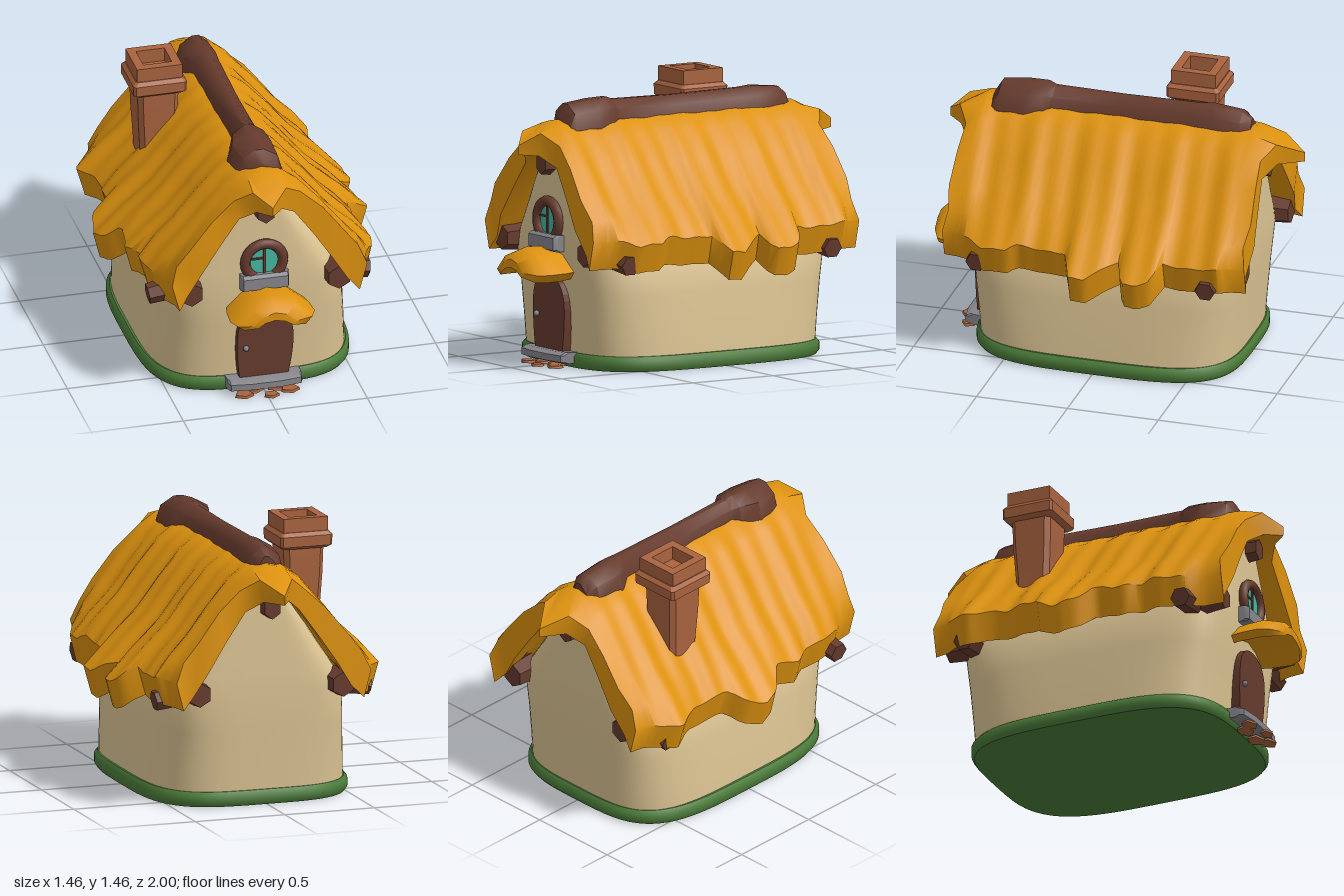
import * as THREE from 'three';
import { toCreasedNormals } from 'three/addons/utils/BufferGeometryUtils.js';

const mat = (name, color) => Object.assign(new THREE.MeshStandardMaterial({ color }), { name });

// Skins equal, even-length rings of [x,y,z]; end caps pair point i with point n-1-i.
function loft(rings, crease = 0.8) {
  const n = rings[0].length, p = rings.flat(), idx = [];
  const quad = (a, b, c, d) => idx.push(a, b, c, a, c, d);
  for (let r = 0; r < rings.length - 1; r++)
    for (let i = 0; i < n; i++) {
      const j = (i + 1) % n;
      quad(r * n + i, r * n + j, (r + 1) * n + j, (r + 1) * n + i);
    }
  const end = (rings.length - 1) * n;
  for (let i = 0; i < n / 2 - 1; i++) {
    quad(i, n - 1 - i, n - 2 - i, i + 1);
    quad(end + i, end + i + 1, end + n - 2 - i, end + n - 1 - i);
  }
  // make the faces point outward whichever way the rings run
  let volume = 0;
  const v = (i) => new THREE.Vector3(...p[i]);
  for (let i = 0; i < idx.length; i += 3) volume += v(idx[i]).dot(v(idx[i + 1]).cross(v(idx[i + 2])));
  if (volume < 0) idx.reverse();
  const g = new THREE.BufferGeometry();
  g.setAttribute('position', new THREE.Float32BufferAttribute(p.flat(), 3));
  g.setIndex(idx);
  return toCreasedNormals(g, crease);
}

// Rounded-rectangle footprint
function footprint(y, a, b, n, count = 64) {
  return Array.from({ length: count }, (_, i) => {
    const t = ((i + 0.5) / count) * Math.PI * 2, c = Math.cos(t), s = Math.sin(t);
    return [a * Math.sign(c) * Math.abs(c) ** (2 / n), y, b * Math.sign(s) * Math.abs(s) ** (2 / n)];
  });
}

// Piecewise linear lookup
function lerpKeys(keys, x) {
  let i = 1;
  while (i < keys.length - 1 && keys[i][0] < x) i++;
  const [x0, y0] = keys[i - 1], [x1, y1] = keys[i];
  return y0 + (y1 - y0) * THREE.MathUtils.clamp((x - x0) / (x1 - x0), 0, 1);
}

// Thatch: paired outer and inner slope points, from ridge to eave
const OUTER = [[0, 1.295], [0.09, 1.275], [0.18, 1.21], [0.3, 1.07], [0.42, 0.92], [0.53, 0.815], [0.62, 0.71]];
const INNER = [[0, 1.13], [0.07, 1.12], [0.15, 1.06], [0.26, 0.91], [0.36, 0.76], [0.47, 0.63], [0.58, 0.56]];
const OVERHANG = [[0.2, 0.06], [0.1, 0.05], [0.04, 0.05], [0.05, 0.05], [0.06, 0.06], [0.04, 0.05], [0.06, 0.06]];
const EAVE = {
  '-1': [[-0.8, 0.52], [-0.68, 0.62], [-0.6, 0.66], [-0.45, 0.6], [-0.22, 0.6], [-0.15, 0.69], [-0.03, 0.73], [0.07, 0.7],
    [0.15, 0.6], [0.3, 0.64], [0.4, 0.59], [0.5, 0.6], [0.65, 0.57], [0.8, 0.5]],
  '1': [[-0.8, 0.52], [-0.7, 0.6], [-0.5, 0.61], [-0.4, 0.6], [-0.36, 0.7], [-0.28, 0.73], [-0.2, 0.72], [-0.16, 0.62],
    [-0.1, 0.66], [0, 0.73], [0.08, 0.73], [0.13, 0.62], [0.4, 0.6], [0.45, 0.64], [0.6, 0.64], [0.68, 0.58], [0.8, 0.53]],
};
function thatchRing(z, endSign) {
  const point = (list, k, side) => {
    let [x, y] = list[k];
    const outer = list === OUTER;
    const eave = lerpKeys(EAVE[side], z) - 0.62;
    const pull = k === 6 ? 1 : k === 5 ? 0.4 : 0;
    x += eave * pull;
    y -= Math.max(eave, 0) * pull * 0.8;
    // straw ripples running down the slope
    const wave = Math.sin(z * 17 + side) * 0.6 + Math.sin(z * 41 + side * 2 + k * 0.5) * 0.5;
    const amount = (outer ? 0.016 : 0.008) * Math.min(k / 3, 1);
    x += wave * amount * 0.6;
    y += wave * amount * 0.8;
    let zz = z;
    if (endSign) {
      zz += endSign * OVERHANG[k][0];
      if (k === 0) {
        zz = endSign > 0 ? 0.95 : -1;
        y = outer ? 1.175 : 1.125;
      } else if (k < 3 && outer) y -= 0.035;
    }
    return [side * x, y, zz];
  };
  const line = (list) => [
    ...[6, 5, 4, 3, 2, 1].map((k) => point(list, k, -1)),
    ...[0, 1, 2, 3, 4, 5, 6].map((k) => point(list, k, 1)),
  ];
  return [...line(OUTER), ...line(INNER).reverse()];
}

export function createModel() {
  const root = new THREE.Group();
  root.name = 'cottage';
  const plaster = mat('plaster', 0xdcc493), thatch = mat('thatch', 0xdd920f), wood = mat('darkWood', 0x663b2d);
  const brick = mat('brick', 0xa9633f), grass = mat('grass', 0x4b7b39), stone = mat('stone', 0x85858b), glass = mat('glass', 0x45b5a0);
  const add = (name, geometry, material, x = 0, y = 0, z = 0) => {
    const m = new THREE.Mesh(geometry, material);
    m.name = name;
    m.position.set(x, y, z);
    root.add(m);
    return m;
  };

  // Grass plinth and plaster walls rising into gables
  add('grassBase', loft([[0, 0.56, 0.72], [0.02, 0.572, 0.735], [0.06, 0.572, 0.735], [0.08, 0.555, 0.72]]
    .map(([y, a, b]) => footprint(y, a, b, 3.6))), grass);
  add('walls', loft([[0.05, 0.545, 0.71, 3.8], [0.2, 0.535, 0.72, 4], [0.4, 0.515, 0.735, 4.5], [0.6, 0.495, 0.75, 5.5],
    [0.7, 0.43, 0.75, 6], [0.8, 0.36, 0.75, 6], [0.95, 0.255, 0.75, 6], [1.1, 0.14, 0.75, 6], [1.2, 0.04, 0.75, 6]]
    .map((r) => footprint(...r))), plaster);

  // Thatched roof with ragged eaves and a spike at each gable
  const rings = [thatchRing(-0.77, -1)];
  for (let i = 0; i <= 56; i++) rings.push(thatchRing(-0.75 + (i / 56) * 1.5, 0));
  rings.push(thatchRing(0.77, 1));
  add('thatchedRoof', loft(rings, 0.75), thatch);

  // Ridge cap, swelling at both ends: z, left width, right width, top
  add('ridgeCap', loft([[-0.71, 0.07, 0.05, 1.33], [-0.66, 0.11, 0.08, 1.37], [-0.5, 0.125, 0.085, 1.385], [-0.42, 0.08, 0.08, 1.38],
    [0, 0.075, 0.075, 1.375], [0.37, 0.065, 0.08, 1.38], [0.41, 0.1, 0.11, 1.395], [0.52, 0.14, 0.125, 1.39], [0.66, 0.11, 0.125, 1.375], [0.7, 0.06, 0.11, 1.31]]
    .map(([z, l, r, t]) => [[-l, 1.245, z], [-l * 0.8, t - 0.045, z], [-l * 0.2, t, z], [r * 0.2, t, z],
      [r * 0.8, t - 0.045, z], [r, 1.245, z], [r * 0.5, 1.2, z], [-l * 0.5, 1.2, z]])), wood);

  // Beam ends under the gables and short brackets under the eaves
  const beam = (name, r, length, x, y, z) => add(name, toCreasedNormals(
    new THREE.CylinderGeometry(r * 0.85, r, length, 6), 0.6), wood, x, y, z);
  for (const end of [-1, 1]) {
    const top = beam('ridgeBeam', 0.06, 0.14, 0, 1.07, end * 0.74);
    top.rotation.x = end * Math.PI / 2;
    top.scale.z = 1.15;
    for (const side of [-1, 1]) {
      const purlin = beam('purlinEnd', 0.078, 0.14, side * 0.4, 0.63, end * 0.73);
      purlin.rotation.x = end * Math.PI / 2;
      const bracket = beam('eaveBracket', 0.065, 0.26, side * 0.47, 0.6, end * 0.63);
      bracket.rotation.z = -side * (Math.PI / 2 + 0.15);
    }
  }

  // Chimney with a collar and an open square top
  const square = (y, s, c = 0.012) => [[-s, -s + c], [-s + c, -s], [s - c, -s], [s, -s + c], [s, s - c], [s - c, s], [-s + c, s], [-s, s - c]]
    .map(([x, z]) => [x, y, z]);
  const cx = -0.315, cz = -0.325;
  add('chimneyShaft', loft([[0.75, 0.1], [0.95, 0.095], [1.15, 0.107], [1.32, 0.112]].map(([y, s]) => square(y, s, 0.025)), 0.5), brick, cx, 0, cz);
  add('chimneyCollar', loft([[1.295, 0.125], [1.31, 0.143], [1.365, 0.145], [1.385, 0.128]].map(([y, s]) => square(y, s)), 0.5), brick, cx, 0, cz);
  const potShape = new THREE.Shape([[-1, -1], [1, -1], [1, 1], [-1, 1]].map(([x, y]) => new THREE.Vector2(x * 0.123, y * 0.123)));
  potShape.holes.push(new THREE.Path([[-1, -1], [-1, 1], [1, 1], [1, -1]].map(([x, y]) => new THREE.Vector2(x * 0.077, y * 0.077))));
  add('chimneyTop', new THREE.ExtrudeGeometry(potShape, { depth: 0.08, bevelEnabled: false }), brick, cx, 1.38, cz).rotation.x = -Math.PI / 2;

  // Arched door with knob
  const doorShape = new THREE.Shape();
  doorShape.moveTo(-0.13, 0.07);
  doorShape.lineTo(0.13, 0.07);
  doorShape.quadraticCurveTo(0.16, 0.2, 0.16, 0.31);
  doorShape.bezierCurveTo(0.16, 0.43, 0.09, 0.48, 0, 0.48);
  doorShape.bezierCurveTo(-0.09, 0.48, -0.145, 0.43, -0.145, 0.31);
  doorShape.quadraticCurveTo(-0.15, 0.2, -0.13, 0.07);
  const door = new THREE.ExtrudeGeometry(doorShape, { depth: 0.06, bevelEnabled: false, curveSegments: 8 });
  add('door', door, wood, 0, 0, 0.7).rotation.x = 0.02;
  add('doorKnob', new THREE.SphereGeometry(0.016, 8, 6), stone, -0.1, 0.26, 0.775);

  // Doorstep and paving stones
  add('doorstep', loft([[-0.2, 0.8], [-0.19, 1], [-0.08, 1.15], [0.08, 1.15], [0.19, 1], [0.2, 0.8]].map(([x, s]) =>
    [[x, 0.03, 0.66], [x, 0.08, 0.66], [x, 0.085, 0.69 + 0.09 * s], [x, 0.07, 0.71 + 0.1 * s], [x, 0.035, 0.71 + 0.1 * s], [x, 0.025, 0.69 + 0.09 * s]]), 0.6), stone);
  [[-0.12, 0.81, 0.055], [0.02, 0.845, 0.045], [0.13, 0.805, 0.055], [-0.06, 0.76, 0.06], [0.07, 0.76, 0.06]].forEach(([x, z, r], i) => {
    const slab = add('pavingStone', new THREE.CylinderGeometry(r * 0.9, r, 0.014, 5).rotateY(i * 1.3), brick, x, 0.007, z);
    slab.scale.z = 0.75;
  });

  // Thatched awning over the door: z, scale, height shift
  const arch = [[-0.22, 0.5], [-0.13, 0.59], [0, 0.635], [0.13, 0.6], [0.24, 0.51], [0.2, 0.465], [0.11, 0.52], [0, 0.545], [-0.11, 0.52], [-0.18, 0.47]];
  add('doorAwning', loft([[0.7, 0.85, 0], [0.8, 0.97, 0], [0.9, 1, 0], [0.96, 0.88, -0.005], [1, 0.5, -0.005]]
    .map(([z, s, dy]) => arch.map(([x, y]) => [x * s, 0.53 + (y - 0.53) * s + dy, z]))), thatch);

  // Round window with stone sill
  add('windowGlass', new THREE.CircleGeometry(0.1, 24), glass, 0, 0.765, 0.765);
  add('windowFrame', new THREE.TorusGeometry(0.103, 0.028, 8, 24), wood, 0, 0.765, 0.765);
  add('windowMullion', new THREE.BoxGeometry(0.014, 0.17, 0.008), wood, 0, 0.765, 0.77);
  add('windowCrossbar', new THREE.BoxGeometry(0.07, 0.01, 0.008), wood, -0.035, 0.785, 0.769);
  add('windowSill', loft([[-0.13, 0.6], [-0.12, 1], [0.12, 1], [0.13, 0.6]].map(([x, s]) =>
    [[x, 0.61, 0.7], [x, 0.695, 0.7], [x, 0.7, 0.74 + 0.05 * s], [x, 0.685, 0.75 + 0.06 * s], [x, 0.62, 0.75 + 0.06 * s], [x, 0.61, 0.74 + 0.05 * s]]), 0.5), stone);
  return root;
}
